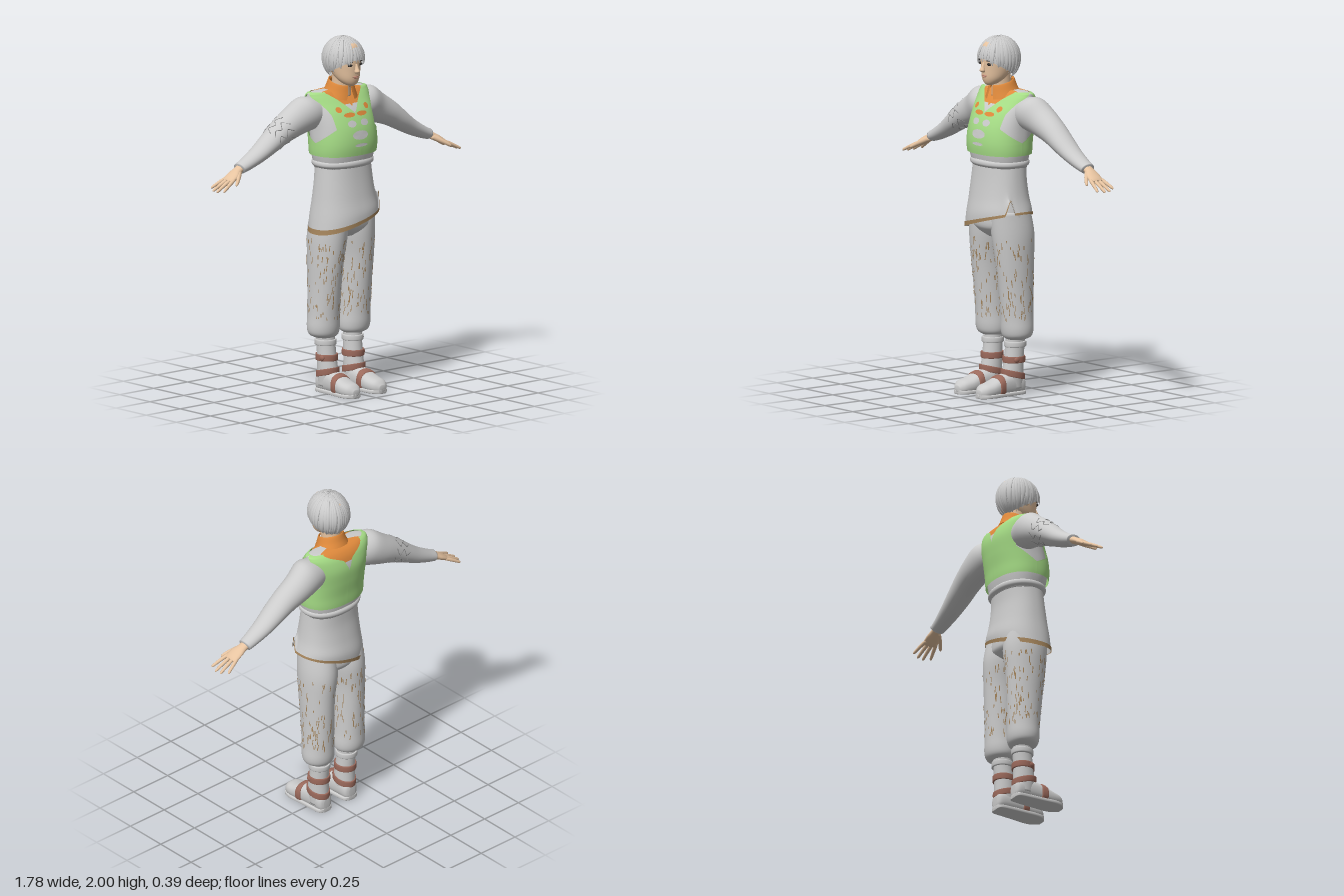
import * as THREE from 'three';
import { mergeGeometries } from 'three/addons/utils/BufferGeometryUtils.js';

const X = new THREE.Vector3(1, 0, 0), Y = new THREE.Vector3(0, 1, 0), Z = new THREE.Vector3(0, 0, 1);
const GREY = 0xcccccc, GREEN = 0xa6dd86, ORANGE = 0xe08a3c, SKIN = 0xe6c3a0, TAN = 0xa5855c, RUST = 0x9c6a5c, DARK = 0x33302e;
const RAD = Math.PI / 180;

function mesh(name, geo, color = GREY) {
  const m = new THREE.Mesh(geo, new THREE.MeshStandardMaterial({ color, side: THREE.DoubleSide }));
  m.name = name;
  return m;
}

// Smooth interpolation of rows [x, y, z, radiusU, radiusV]
function rowAt(rows, t) {
  const n = rows.length - 1, i = Math.min(Math.max(Math.floor(t), 0), n - 1), f = t - i;
  const [a, b, c, d] = [Math.max(i - 1, 0), i, i + 1, Math.min(i + 2, n)].map(k => rows[k]);
  return b.map((_, k) => b[k] + 0.5 * f * (c[k] - a[k] + f * (2 * a[k] - 5 * b[k] + 4 * c[k] - d[k] + f * (3 * (b[k] - c[k]) + d[k] - a[k]))));
}

// Point function of a body made of (super)elliptic cross-sections
function surface(rows, U, V, { p = 1, warp } = {}) {
  const pw = v => Math.sign(v) * Math.abs(v) ** p;
  return (t, th, off = 0) => {
    const r = rowAt(rows, t);
    const q = new THREE.Vector3(r[0], r[1], r[2])
      .addScaledVector(U, (r[3] + off) * pw(Math.cos(th)))
      .addScaledVector(V, (r[4] + off) * pw(Math.sin(th)));
    if (warp) warp(q, t);
    return q;
  };
}

function build(points, idx) {
  const g = new THREE.BufferGeometry().setFromPoints(points);
  g.setIndex(idx);
  g.computeVertexNormals();
  return g;
}

function loft(rows, U, V, o = {}) {
  const { n = 28, sub = 5, cap = true } = o, at = surface(rows, U, V, o), M = (rows.length - 1) * sub;
  const a = rows[0], z = rows[rows.length - 1], d = new THREE.Vector3(z[0] - a[0], z[1] - a[1], z[2] - a[2]);
  const flip = (U.clone().cross(V).dot(d) < 0) !== !!o.flip, pts = [], idx = [];
  const tri = (a, b, c) => flip ? idx.push(a, c, b) : idx.push(a, b, c);
  for (let j = 0; j <= M; j++) for (let i = 0; i < n; i++) pts.push(at(j / sub, i / n * 2 * Math.PI));
  for (let j = 0; j < M; j++) for (let i = 0; i < n; i++) {
    const k = j * n + i, l = j * n + (i + 1) % n;
    tri(k, l, l + n); tri(k, l + n, k + n);
  }
  if (cap) for (const j of [0, M]) {
    const c = pts.length, ring = pts.slice(j * n, j * n + n);
    pts.push(ring.reduce((s, q) => s.add(q), new THREE.Vector3()).divideScalar(n));
    for (let i = 0; i < n; i++) {
      const k = j * n + i, l = j * n + (i + 1) % n;
      j ? tri(c, k, l) : tri(c, l, k);
    }
  }
  return build(pts, idx);
}

// Panel lying on a surface, between two angles that may vary along it
function sheet(at, t0, t1, a, b, off, nt = 24, na = 14) {
  const pts = [], idx = [], val = (f, t) => (typeof f === 'function' ? f(t) : f) * RAD;
  for (let j = 0; j <= nt; j++) for (let i = 0; i <= na; i++) {
    const t = t0 + (t1 - t0) * j / nt, u = i / na;
    pts.push(at(t, val(a, t) * (1 - u) + val(b, t) * u, off));
    if (j < nt && i < na) { const k = j * (na + 1) + i; idx.push(k, k + na + 2, k + 1, k, k + na + 1, k + na + 2); }
  }
  return build(pts, idx);
}

const body = r => r.map(([y, rx, f, b]) => [0, y, (f + b) / 2, rx, (f - b) / 2]);
const table = v => t => { const i = Math.min(Math.floor(t), v.length - 2); return v[i] + (v[i + 1] - v[i]) * (t - i); };
let seed = 7;
const rnd = () => (seed = (seed * 16807) % 2147483647) / 2147483647;

function ball(name, x, y, z, sx, sy, sz, color) {
  const g = new THREE.SphereGeometry(1, 20, 14).scale(sx, sy, sz).translate(x, y, z);
  return mesh(name, g, color);
}

function makeTorso(g) {
  const rows = body([[1.27, .168, .095, -.15], [1.35, .186, .112, -.163], [1.42, .19, .115, -.168], [1.5, .19, .1, -.178], [1.58, .195, .065, -.183],
    [1.64, .2, .02, -.17], [1.675, .2, -.01, -.15], [1.694, .18, -.03, -.125], [1.7, .06, -.04, -.1]]);
  const o = { p: .85, n: 64 }, at = surface(rows, X, Z, o);
  g.add(mesh('shirtBody', loft(rows, X, Z, o)));
  // Vest: mirrored front and back quarters with armholes and neckline
  const hole = [table([0, 0, 0, 50, 48, 34, 12, 0, 0]), table([0, 0, 0, 38, 36, 28, 10, 0, 0])];
  const neck = [table([0, 0, 0, 0, 0, 14, 27, 39, 60]), table([0, 0, 0, 0, 0, 6, 28, 40, 60])];
  const vest = [], yoke = [];
  for (const k of [0, 1]) for (const s of [1, -1]) {
    const sg = k ? -1 : 1, turn = f => t => s > 0 ? sg * f(t) : 180 - sg * f(t);
    vest.push(sheet(at, .95, 7.1, turn(hole[k]), turn(t => 90 - neck[k](t)), .012, 48, 18));
    yoke.push(sheet(at, 4.7, 8, turn(t => 82 - neck[k](t)), turn(() => 90), .006));
  }
  g.add(mesh('vest', mergeGeometries(vest), GREEN), mesh('shirtYoke', mergeGeometries(yoke), ORANGE));
  // Small patches moulded onto the vest front
  const patch = (name, x, y, w, h, color, off = .015) => {
    const geo = new THREE.CircleGeometry(1, 24).scale(w, h, 1).translate(x, y, 0), P = geo.attributes.position;
    for (let i = 0; i < P.count; i++) {
      let lo = 0, hi = 8;
      for (let k = 0; k < 24; k++) { const m = (lo + hi) / 2; rowAt(rows, m)[1] < P.getY(i) ? lo = m : hi = m; }
      const r = rowAt(rows, lo), q = Math.min(Math.abs(P.getX(i)) / r[3], 1);
      P.setZ(i, r[2] + r[4] * (1 - q ** (2 / o.p)) ** (o.p / 2) + off);
    }
    geo.computeVertexNormals();
    g.add(mesh(name, geo, color));
  };
  for (const s of [1, -1]) {
    patch('vestButton', s * .1, 1.603, .018, .015, ORANGE);
    patch('chestOpening', s * .045, 1.572, .038, .012, ORANGE);
    patch('vestInset', s * .045, 1.525, .028, .018, GREY);
  }
  patch('vestInset', 0, 1.46, .055, .025, GREY);
  patch('vestInset', 0, 1.405, .045, .009, GREY);
  // Folded collar, lower in front, with an open notch
  const collar = surface([[0, 1.735, -.04, .062, .062], [0, 1.745, -.04, .069, .069], [0, 1.705, -.042, .083, .08], [0, 1.672, -.045, .098, .09]], X, Z,
    { warp: q => { q.y -= (q.z + .045) * .3; } });
  g.add(mesh('collar', sheet(collar, 0, 3, t => 92 + t * 5, t => 448 - t * 5, 0, 14, 48), ORANGE));
  patch('collarPlacket', 0, 1.645, .014, .03, ORANGE, .012);
}

function makeTunic(g) {
  g.add(mesh('waistRoll', loft(body([[1.318, .172, .102, -.156], [1.305, .183, .112, -.166], [1.288, .183, .112, -.165], [1.275, .171, .1, -.153]]), X, Z, { p: .9, n: 48 })));
  const rows = body([[1.29, .168, .097, -.15], [1.2, .176, .107, -.15], [1.1, .187, .122, -.163], [1.02, .2, .137, -.178], [.965, .209, .138, -.175]]);
  const warp = q => {
    const k = THREE.MathUtils.clamp((1.2 - q.y) / .23, 0, 1);
    const slit = q.x > 0 ? Math.max(0, 1 - Math.abs(q.z - .05) / .025) : 0;
    q.y += k * k * (.27 * q.x + .09 * slit);
  };
  const o = { p: .9, n: 160, warp, cap: false };
  g.add(mesh('tunicSkirt', loft(rows, X, Z, o)));
  g.add(mesh('tunicHem', sheet(surface(rows, X, Z, o), 3.55, 4.04, 0, 360, .004, 4, 160), TAN));
  g.add(mesh('pelvis', loft([[0, 1.12, -.02, .17, .12], [0, .97, -.025, .185, .135], [0, .92, -.03, .15, .12], [0, .88, -.03, .05, .07]], X, Z, { n: 40 })));
}

function makeLeg(s) {
  const g = new THREE.Group();
  g.name = s > 0 ? 'leftLeg' : 'rightLeg';
  const side = rows => rows.map(([x, ...r]) => [x * s, ...r]);
  const rows = side([[.095, 1.03, -.025, .085, .125], [.1, .9, -.04, .098, .13], [.11, .75, -.045, .09, .116], [.112, .6, -.052, .087, .103],
    [.113, .45, -.058, .088, .093], [.113, .37, -.06, .092, .09], [.111, .33, -.06, .083, .079], [.105, .312, -.06, .055, .055]]);
  g.add(mesh('trouserLeg', loft(rows, X, Z, { n: 40 })));
  // Woven flecks scattered over the thigh and knee
  const at = surface(rows, X, Z), flecks = [];
  for (let i = 0; i < 190; i++) {
    const t = 1.15 + rnd() * 3, a = rnd() * 360, lean = (rnd() - .5) * 5;
    flecks.push(sheet(at, t, t + .1 + rnd() * .2, u => a + lean * (u - t) * 5, u => a + 2.4 + lean * (u - t) * 5, .002, 2, 1));
  }
  g.add(mesh('trouserFlecks', mergeGeometries(flecks), TAN));
  // Boot: shaft, foot, sole and straps
  const floor = y0 => q => { q.y = Math.max(q.y, y0); };
  g.add(mesh('bootShaft', loft(side([[.1, .335, -.058, .053, .054], [.098, .27, -.055, .051, .055], [.097, .19, -.048, .053, .057], [.096, .11, -.042, .054, .064], [.096, .04, -.045, .05, .06]]), X, Z)));
  g.add(mesh('bootCuff', loft(side([[.1, .3, -.057, .054, .056], [.1, .297, -.057, .06, .062], [.1, .272, -.056, .06, .062], [.1, .268, -.056, .053, .056]]), X, Z)));
  const foot = side([[.094, .05, -.112, .02, .03], [.094, .055, -.095, .045, .053], [.094, .065, -.03, .052, .065], [.095, .058, .05, .056, .058],
    [.097, .044, .12, .06, .044], [.097, .038, .17, .05, .036], [.097, .03, .198, .022, .017]]);
  g.add(mesh('bootFoot', loft(foot, X, Y, { p: .85, warp: floor(.012) })));
  const sole = foot.map(([x, , z, w]) => [x, .012, z, w + .003, .012]);
  g.add(mesh('bootSole', loft(sole, X, Y, { p: .4 }), GREY));
  const strap = (x, y, z, rx, rz, tilt) => {
    const V = new THREE.Vector3(0, -tilt, 1);
    g.add(mesh('bootStrap', loft(side([[x, y + .017, z, rx - .005, rz - .005], [x, y + .015, z, rx, rz], [x, y - .015, z, rx, rz], [x, y - .017, z, rx - .005, rz - .005]]), X, V), RUST));
  };
  strap(.097, .2, -.049, .06, .065, 0);
  strap(.096, .115, -.042, .06, .071, -.25);
  g.add(mesh('toeStrap', loft(side([[.095, .054, .045, .054, .054], [.095, .056, .049, .062, .064], [.096, .052, .079, .063, .058], [.096, .05, .083, .055, .048]]), X, Y, { p: .85, warp: floor(.014) }), RUST));
  g.add(ball('strapBuckle', s * .15, .2, -.03, .01, .016, .018, RUST));
  return g;
}

function makeArm(s) {
  const g = new THREE.Group(), V = new THREE.Vector3(.45 * s, .89, 0);
  g.name = s > 0 ? 'leftArm' : 'rightArm';
  const side = rows => rows.map(([x, ...r]) => [x * s, ...r]);
  const rows = side([[.13, 1.59, -.08, .075, .085], [.21, 1.583, -.085, .092, .103], [.3, 1.543, -.098, .084, .088], [.4, 1.495, -.098, .076, .071],
    [.48, 1.445, -.098, .07, .058], [.56, 1.395, -.1, .06, .046], [.64, 1.355, -.101, .049, .037], [.695, 1.333, -.102, .042, .031]]);
  g.add(mesh('sleeve', loft(rows, Z, V, { n: 36 })));
  // Net of raised seams on the right sleeve
  if (s < 0) {
    const at = surface(rows, Z, V), seams = [];
    for (let k = 0; k < 9; k++) {
      const pts = [0, 1, 2, 3, 4].map(i => at(2.6 + i * .3, (k * 40 + (i % 2 ? 16 : -10) + rnd() * 10) * RAD, .001));
      seams.push(new THREE.TubeGeometry(new THREE.CatmullRomCurve3(pts, false, 'catmullrom', .1), 16, .0025, 5));
    }
    g.add(mesh('sleeveSeams', mergeGeometries(seams), 0x8c8c8c));
  }
  // Hand with spread fingers, palm down
  g.add(mesh('palm', loft(side([[.67, 1.345, -.102, .03, .022], [.71, 1.325, -.1, .03, .02], [.745, 1.306, -.094, .042, .019], [.78, 1.286, -.092, .043, .015], [.795, 1.278, -.092, .037, .009]]), Z, V), SKIN));
  [[-.058, -.03, .875, 1.236], [-.08, -.073, .888, 1.23], [-.103, -.11, .884, 1.231], [-.125, -.15, .86, 1.24]].forEach(([z0, z1, x1, y1]) => {
    const f = (k, r) => [.77 + (x1 - .77) * k, 1.289 + (y1 - 1.289) * k + .008 * k * (1 - k), z0 + (z1 - z0) * k, r, r * .95];
    g.add(mesh('finger', loft(side([f(0, .01), f(.35, .0108), f(.7, .0092), f(.92, .0075), f(1, .002)]), Z, V, { n: 12, sub: 3 }), SKIN));
  });
  g.add(mesh('thumb', loft(side([[.705, 1.322, -.085, .014, .014], [.735, 1.303, -.06, .015, .014], [.765, 1.283, -.036, .012, .011], [.787, 1.268, -.022, .009, .008], [.794, 1.263, -.018, .002, .002]]), Z, V, { n: 14, sub: 3 }), SKIN));
  return g;
}

function makeHead() {
  const g = new THREE.Group();
  g.name = 'head';
  g.add(mesh('neck', loft([[0, 1.66, -.045, .06, .06], [0, 1.72, -.038, .053, .055], [0, 1.8, -.03, .055, .058]], X, Z), SKIN));
  g.add(mesh('face', loft([[0, 1.727, .042, .015, .018], [0, 1.74, .031, .04, .043], [0, 1.77, .011, .064, .073], [0, 1.82, -.012, .079, .099], [0, 1.87, -.018, .085, .107],
    [0, 1.92, -.02, .086, .108], [0, 1.96, -.02, .07, .09], [0, 1.985, -.02, .03, .04]], X, Z, { n: 40 }), SKIN));
  g.add(mesh('nose', loft([[0, 1.855, .083, .007, .008], [0, 1.83, .09, .01, .013], [0, 1.812, .094, .015, .017], [0, 1.802, .087, .009, .009]], X, Z, { n: 16 }), SKIN));
  g.add(ball('upperLip', 0, 1.783, .08, .023, .005, .009, 0xc98f7c), ball('lowerLip', 0, 1.775, .078, .019, .006, .009, 0xc98f7c));
  for (const s of [1, -1]) {
    g.add(ball('ear', s * .086, 1.835, -.02, .012, .032, .02, SKIN));
    g.add(ball('eye', s * .036, 1.848, .077, .017, .008, .008, DARK));
    g.add(ball('brow', s * .037, 1.867, .079, .02, .004, .008, DARK));
  }
  // Hair: rows hold [azimuth, polar angle, radius]; the warp wraps them round the skull
  const wrap = q => {
    const [a, f, r] = [q.x, q.y, 1 + q.z];
    q.set(.109 * r * Math.sin(f) * Math.sin(a), 1.87 + .124 * r * Math.cos(f), -.022 + .122 * r * Math.sin(f) * Math.cos(a));
  };
  const edge = a => 1.98 - .47 * Math.cos(a) + (Math.cos(a) < 0 ? -.1 * Math.cos(a) : 0) + .12 * Math.sin(a) ** 2;
  const cap = (t, th) => { const q = new THREE.Vector3(th, t * edge(th), .02 * Math.sin(th * 19 + t * 3)); wrap(q); return q; };
  g.add(mesh('hairCap', sheet(cap, 0.001, 1, 0, 360, 0, 24, 120)));
  const locks = [], N = 46;
  for (let i = 0; i < N; i++) {
    const a = i / N * 2 * Math.PI, end = edge(a) + .02 + rnd() * .14, lean = (rnd() - .5) * .3, w = .075 + rnd() * .04, lift = rnd() * .025;
    const row = (k, rw, h) => [a + lean * k * k, .1 + (end - .1) * k, lift, w * rw, h];
    locks.push(loft([row(0, .9, .01), row(.3, 1, .026), row(.6, 1, .034), row(.85, .7, .03), row(1, .06, .004)], X, Z, { n: 8, sub: 4, warp: wrap, flip: true }));
  }
  g.add(mesh('hairLocks', mergeGeometries(locks)));
  return g;
}

export function createModel() {
  const g = new THREE.Group();
  g.name = 'figure';
  makeTorso(g);
  makeTunic(g);
  for (const s of [1, -1]) g.add(makeLeg(s), makeArm(s));
  g.add(makeHead());
  return g;
}
